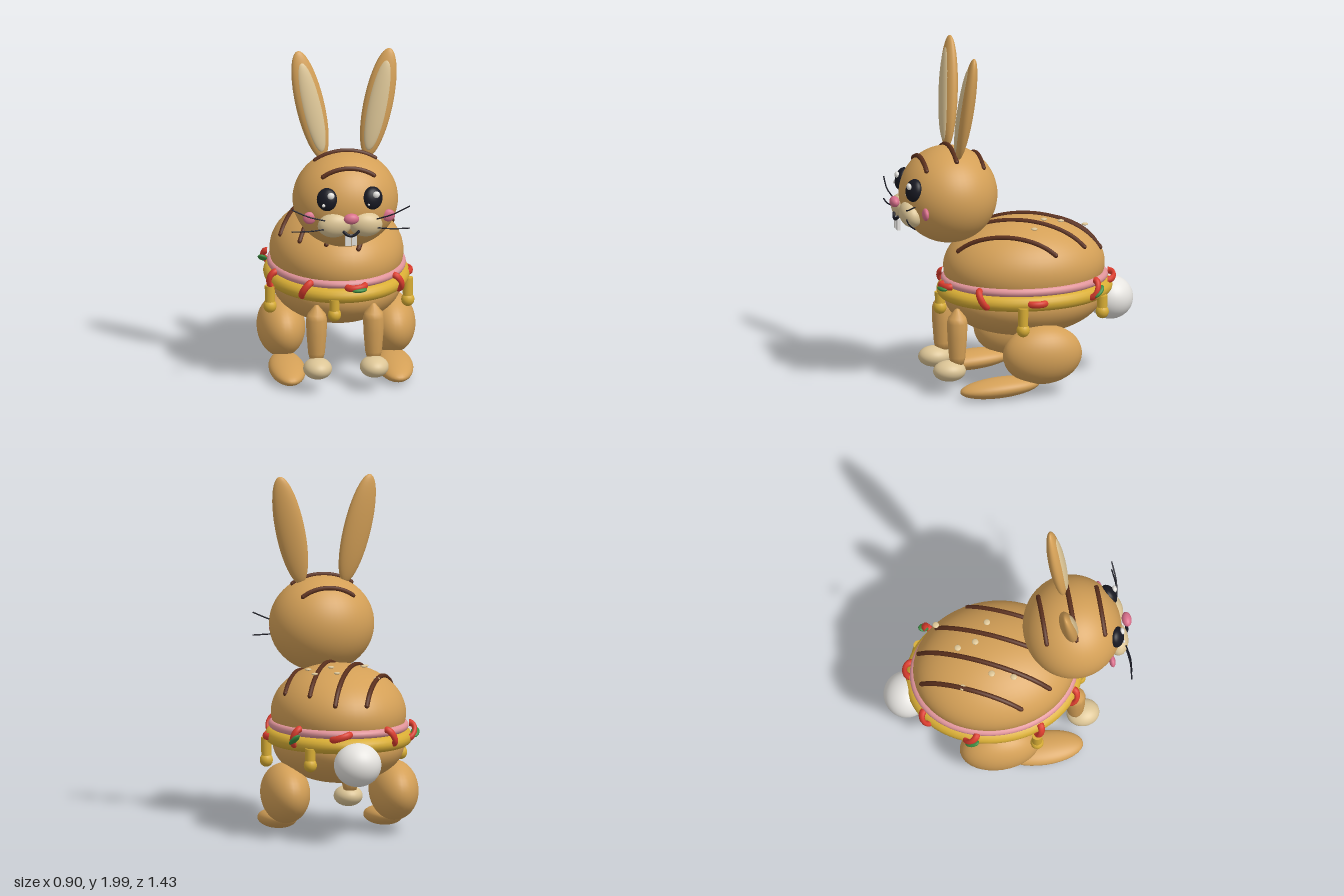
import * as THREE from 'three';

const mat = (name, color) => Object.assign(new THREE.MeshStandardMaterial({ color }), { name });

export function createModel() {
  const model = new THREE.Group();
  model.name = 'burgerRabbit';
  const bun = mat('toastedBun', 0xd4a057), cheese = mat('cheese', 0xd9ae35), ham = mat('ham', 0xe0949a);
  const pink = mat('nosePink', 0xd9708c), tomato = mat('tomato', 0xdb3d2e), leaf = mat('lettuce', 0x3c8c40);
  const brown = mat('grillBrown', 0x5a2f1c), black = mat('black', 0x171822);
  const white = mat('white', 0xe6e4e0), cream = mat('cream', 0xdcc596);

  const add = (name, geo, material, pos = [0, 0, 0], rot = [0, 0, 0], parent = model) => {
    const m = new THREE.Mesh(geo, material);
    m.name = name;
    m.position.set(...pos);
    m.rotation.set(...rot);
    parent.add(m);
    return m;
  };
  const ball = (name, material, pos, radii, rot, parent, seg = 32) =>
    add(name, new THREE.SphereGeometry(1, seg, Math.ceil(seg * 0.7)).scale(...radii), material, pos, rot, parent);
  const tube = (name, material, pts, r, parent) => {
    const curve = new THREE.CatmullRomCurve3(pts.map(p => new THREE.Vector3(...p)));
    add(name, new THREE.TubeGeometry(curve, 24, r, 8), material, [0, 0, 0], [0, 0, 0], parent);
    // rounded tips close the tube
    for (const p of [pts[0], pts[pts.length - 1]]) ball(name + 'End', material, p, [r, r, r], [0, 0, 0], parent, 8);
  };
  // height of an ellipsoid's upper surface at x, z
  const heightOn = (c, r, x, z) =>
    c[1] + r[1] * Math.sqrt(Math.max(0, 1 - ((x - c[0]) / r[0]) ** 2 - ((z - c[2]) / r[2]) ** 2));
  // a grill mark that follows an ellipsoid between two plan points
  const grillMark = (name, c, r, [x0, z0], [x1, z1]) => {
    const pts = [];
    for (let i = 0; i <= 12; i++) {
      const t = i / 12, x = x0 + (x1 - x0) * t, z = z0 + (z1 - z0) * t;
      pts.push([x, heightOn(c, r, x, z) + 0.003, z]);
    }
    tube(name, brown, pts, 0.014);
  };

  // bun body with ham and cheese rings
  const bunC = [0, 0.7, -0.077], bunR = [0.38, 0.275, 0.465];
  ball('topBun', bun, bunC, bunR, [0, 0, 0], model, 48);
  ball('bottomBun', bun, [0, 0.52, -0.075], [0.37, 0.22, 0.455], [0, 0, 0], model, 48);
  const ring = (name, material, y, r) =>
    add(name, new THREE.TorusGeometry(0.37, r, 16, 64).rotateX(Math.PI / 2).scale(1, 1, 1.22), material, [0, y, -0.08]);
  ring('hamSlice', ham, 0.63, 0.024);
  ring('cheeseSlice', cheese, 0.565, 0.045);

  // cheese drips: x, z, lowest y
  for (const [x, z, low] of [[-0.4, 0.1, 0.39], [-0.065, 0.4, 0.42], [0.395, 0.035, 0.38], [0.25, -0.47, 0.415]]) {
    add('cheeseDrip', new THREE.CylinderGeometry(0.03, 0.028, 0.53 - low, 14), cheese, [x, (0.53 + low) / 2 + 0.02, z]);
    ball('cheeseDrop', cheese, [x, low + 0.04, z], [0.038, 0.04, 0.038], [0, 0, 0], model, 16);
  }

  // tomato crescents around the rim: x, z, y, roll, lettuce flag
  const fillings = [
    [-0.205, -0.5, 0.61, -1, 0], [0.087, -0.545, 0.62, 0.3, 0], [0.31, -0.4, 0.61, 1.2, 1],
    [-0.365, -0.272, 0.61, 0.9, 1], [-0.375, 0.11, 0.59, 1.3, 0], [0.305, 0.245, 0.595, -1.1, 0],
    [-0.215, 0.33, 0.595, 1, 0], [0.06, 0.39, 0.62, 0.05, 1], [0.385, -0.05, 0.57, 0, 0]];
  for (const [x, z, y, roll, hasLeaf] of fillings) {
    const g = new THREE.Group();
    g.name = 'filling';
    g.position.set(x, y, z);
    g.rotation.y = Math.atan2(x / 0.15, (z + 0.08) / 0.225);
    model.add(g);
    const arc = new THREE.TorusGeometry(0.05, 0.02, 10, 18, Math.PI).rotateX(Math.PI / 2).scale(1, 1, 0.7);
    add('tomatoSlice', arc, tomato, [0, 0, 0], [0, 0, roll], g);
    if (hasLeaf) ball('lettuceLeaf', leaf, [0.01, -0.012, 0.035], [0.045, 0.014, 0.026], [0, 0, roll * 0.6], g, 16);
  }

  // grill marks and sesame on the bun
  const marks = [[[-0.07, -0.51], [-0.33, 0.02]], [[0.11, -0.495], [-0.24, 0.2]],
    [[0.23, -0.37], [-0.1, 0.3]], [[0.33, -0.175], [0.08, 0.33]]];
  for (const [a, b] of marks) grillMark('bunGrillMark', bunC, bunR, a, b);
  const seeds = [[-0.175, -0.29], [0.053, -0.28], [0.065, -0.177], [-0.137, -0.117], [0.178, -0.09], [-0.173, 0.004]];
  const seed = (x, y, z) => ball('sesameSeed', cream, [x, y, z], [0.019, 0.007, 0.019], [0, 0, 0], model, 12);
  for (const [x, z] of seeds) seed(x, heightOn(bunC, bunR, x, z) + 0.006, z);
  seed(0.205, 0.965, -0.38);

  ball('tail', white, [0, 0.465, -0.585], [0.135, 0.125, 0.13]);

  // head with three grill marks
  const headC = [0, 1.145, 0.37], headR = [0.3, 0.277, 0.28];
  ball('head', bun, headC, headR, [0, 0, 0], model, 48);
  for (const [z, w] of [[0.2, 0.145], [0.365, 0.17], [0.535, 0.145]])
    grillMark('headGrillMark', headC, headR, [-w, z], [w, z]);

  // paired parts
  const legProfile = [[0, -0.17], [0.038, -0.16], [0.048, -0.12], [0.058, 0], [0.06, 0.08], [0.052, 0.11], [0.012, 0.16], [0, 0.165]]
    .map(p => new THREE.Vector2(...p));
  for (const s of [-1, 1]) {
    const ear = new THREE.Group();
    ear.name = s > 0 ? 'leftEar' : 'rightEar';
    ear.position.set(s * 0.195, 1.69, 0.315);
    ear.rotation.set(-0.13, s * -0.18, s * -0.22);
    model.add(ear);
    ball('outerEar', bun, [0, 0, 0], [0.083, 0.322, 0.044], [0, 0, 0], ear);
    ball('innerEar', cream, [0, -0.01, 0.022], [0.058, 0.268, 0.028], [0, 0, 0], ear);

    ball('eye', black, [s * 0.13, 1.215, 0.605], [0.06, 0.066, 0.04], [-0.25, s * 0.35, 0]);
    ball('eyeShine', white, [s * 0.13 + 0.018, 1.245, 0.64], [0.02, 0.02, 0.014], [0, 0, 0], model, 14);
    ball('eyeGlint', white, [s * 0.13 - 0.024, 1.19, 0.642], [0.01, 0.01, 0.008], [0, 0, 0], model, 10);
    ball('cheek', pink, [s * 0.225, 1.095, 0.563], [0.038, 0.036, 0.018], [0, 0, 0], model, 20);
    ball('muzzle', cream, [s * 0.088, 1.065, 0.615], [0.097, 0.074, 0.062], [0.25, 0, s * -0.1]);
    add('tooth', new THREE.BoxGeometry(0.032, 0.065, 0.018), white, [s * 0.018, 0.99, 0.668]);
    tube('upperWhisker', black, [[s * 0.15, 1.105, 0.655], [s * 0.24, 1.133, 0.665], [s * 0.335, 1.175, 0.657]], 0.004);
    tube('lowerWhisker', black, [[s * 0.15, 1.053, 0.655], [s * 0.24, 1.047, 0.665], [s * 0.335, 1.045, 0.657]], 0.004);

    add('frontLeg', new THREE.LatheGeometry(legProfile, 12), bun, [s * 0.163, 0.345, 0.36]);
    ball('frontPaw', cream, [s * 0.162, 0.145, 0.405], [0.082, 0.06, 0.094]);
    ball('thigh', bun, [s * 0.315, 0.247, -0.1], [0.137, 0.172, 0.23]);
    ball('hindFoot', bun, [s * 0.308, 0.068, 0.148], [0.103, 0.056, 0.233], [0.07, 0, 0]);
  }

  // nose and smile
  ball('nose', pink, [0, 1.12, 0.685], [0.044, 0.031, 0.028], [0, 0, 0], model, 20);
  tube('mouth', black, [[-0.042, 1.04, 0.677], [-0.022, 1.024, 0.682], [0, 1.018, 0.682], [0.022, 1.024, 0.682], [0.042, 1.04, 0.677]], 0.009);

  return model;
}
